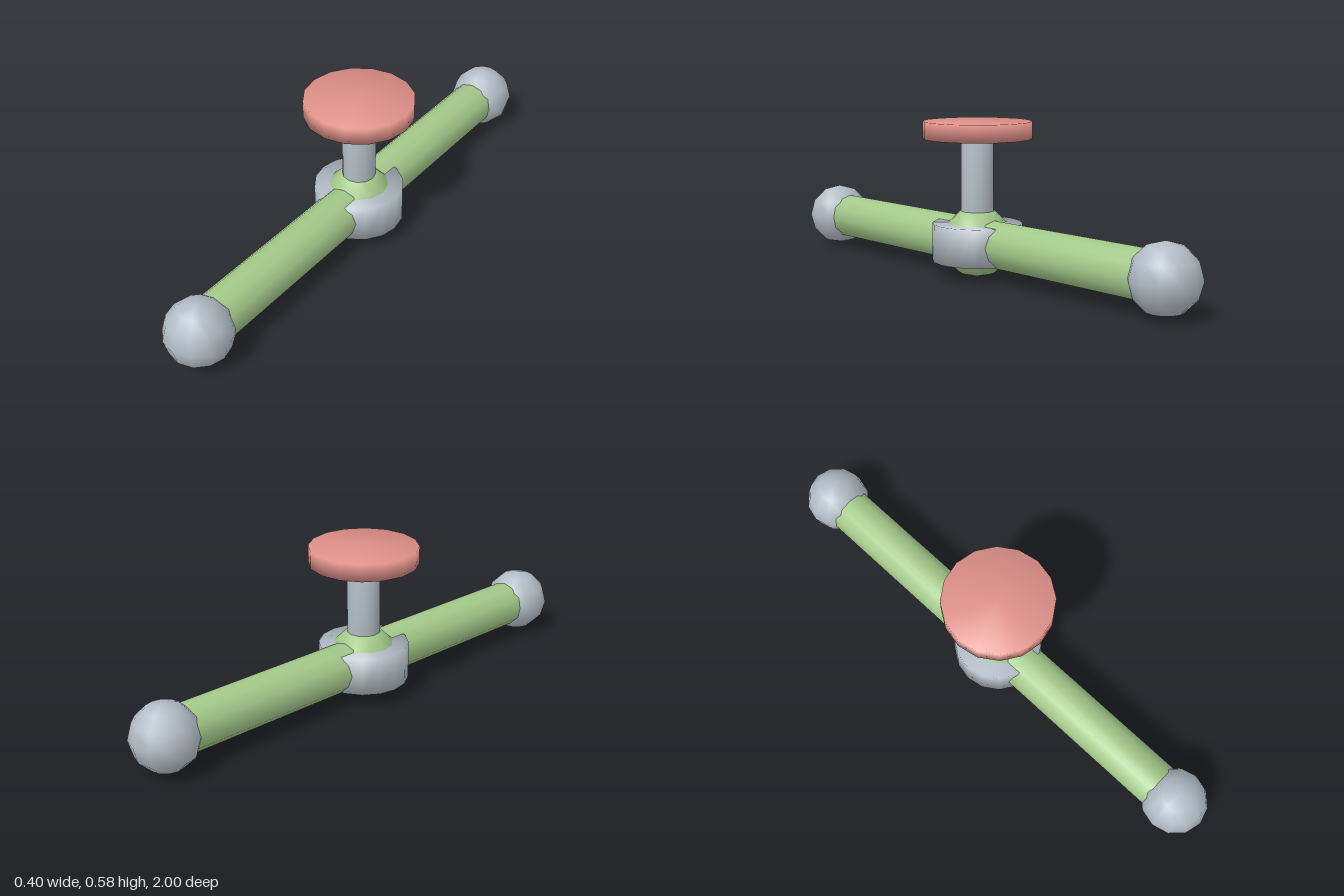
import * as THREE from 'three';
import { mergeVertices } from 'three/addons/utils/BufferGeometryUtils.js';

// Weld a primitive so its normals run smoothly over every edge
function soften(geometry) {
  geometry.deleteAttribute('uv');
  geometry.deleteAttribute('normal');
  const welded = mergeVertices(geometry, 1e-4);
  welded.computeVertexNormals();
  return welded;
}

export function createModel() {
  const model = new THREE.Group();
  model.name = 'valve';

  const material = (name, color) => {
    const m = new THREE.MeshStandardMaterial({ color });
    m.name = name;
    return m;
  };
  const steel = material('steel grey', 0xb3bdc6);
  const green = material('pipe green', 0xa3c98a);
  const red = material('handwheel red', 0xdd8f88);

  const AXIS_Y = 0.1325; // height of the pipe's centre line

  const add = (name, geometry, mat, x, y, z) => {
    const mesh = new THREE.Mesh(geometry, mat);
    mesh.name = name;
    mesh.position.set(x, y, z);
    model.add(mesh);
    return mesh;
  };
  const ball = (r) => soften(new THREE.SphereGeometry(r, 12, 6));
  const drum = (r, h, sides) => soften(new THREE.CylinderGeometry(r, r, h, sides));

  // Valve body: a ball held in an upright collar
  add('valveBody', ball(0.1315), green, 0, AXIS_Y, 0);
  add('collar', drum(0.166, 0.14, 16), steel, 0, 0.133, 0);

  // Pipe halves, each ending in a ball
  const pipeLength = 0.878;
  for (const [side, s] of [['front', 1], ['back', -1]]) {
    const pipe = add(side + 'Pipe', drum(0.087, pipeLength, 12), green, 0, AXIS_Y + 0.001, s * pipeLength / 2);
    pipe.rotation.x = Math.PI / 2;
    add(side + 'EndBall', ball(0.122), steel, 0, AXIS_Y + 0.001, s * pipeLength);
  }

  // Stem and handwheel
  const stemBottom = 0.14, stemTop = 0.52;
  add('stem', drum(0.0615, stemTop - stemBottom, 12), steel, 0, (stemTop + stemBottom) / 2, 0);
  add('handwheel', drum(0.2, 0.064, 16), red, 0, 0.545, 0);

  return model;
}
